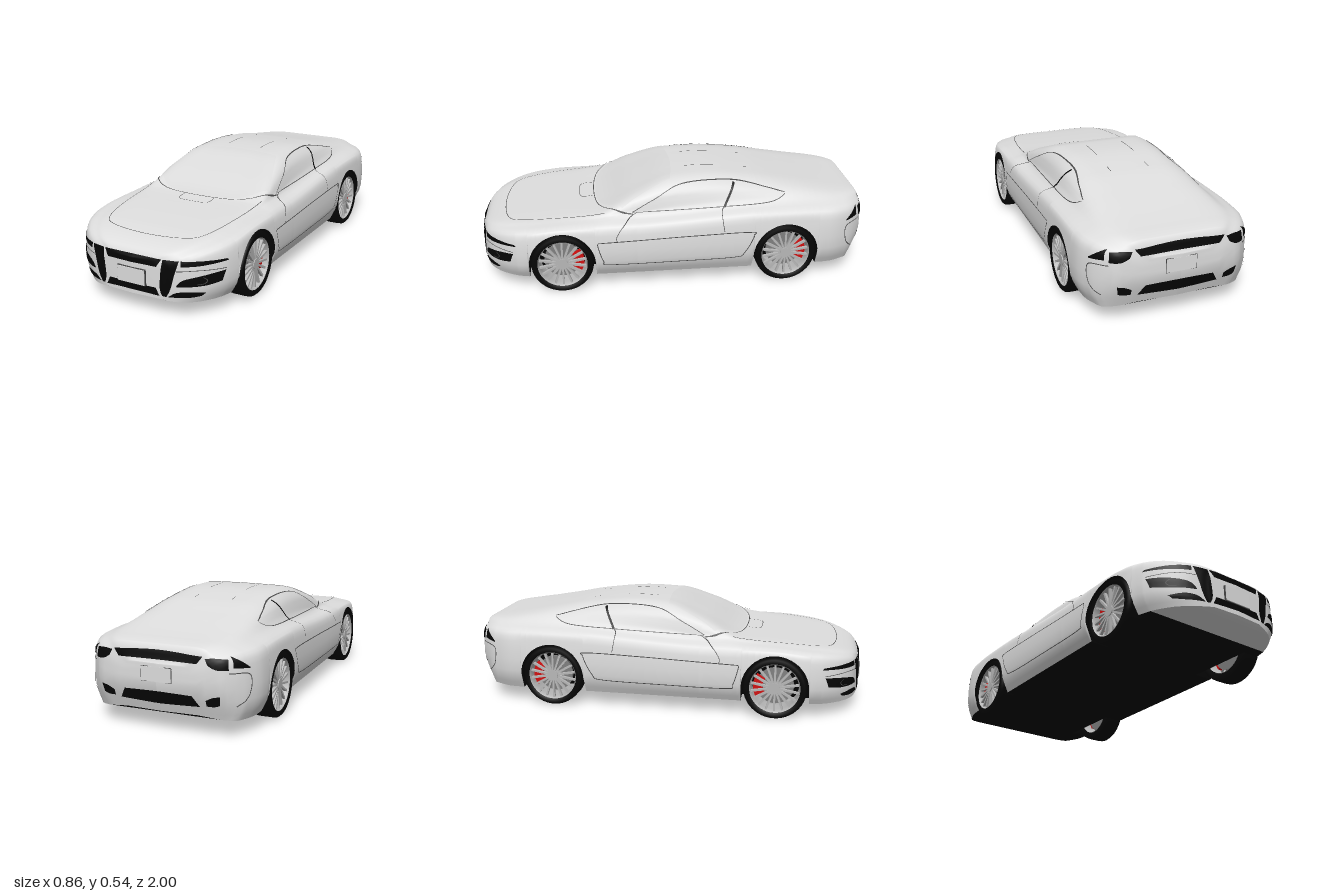
import * as THREE from 'three';

const mat = (name, color, side = THREE.DoubleSide) => {
  const m = new THREE.MeshStandardMaterial({ color, side });
  m.name = name;
  return m;
};
const paint = mat('silver paint', 0xdedede, THREE.FrontSide);
const glass = mat('glass', 0xdadada);
const black = mat('black', 0x050505);
const seam = mat('seam grey', 0x4a4a4a);
const alloy = mat('alloy', 0xb8b8b8);
const steel = mat('brake steel', 0x808080);
const red = mat('caliper red', 0xd01010);

// Stations: z, half width, sill, shoulder, top, roof half width
const ROWS = [
  [-0.992, 0.19, 0.098, 0.29, 0.325, 0.13], [-0.98, 0.27, 0.09, 0.335, 0.375, 0.17],
  [-0.965, 0.305, 0.085, 0.355, 0.404, 0.19], [-0.93, 0.345, 0.08, 0.365, 0.413, 0.2],
  [-0.88, 0.38, 0.077, 0.372, 0.42, 0.2], [-0.78, 0.414, 0.075, 0.378, 0.437, 0.2],
  [-0.6, 0.42, 0.075, 0.384, 0.473, 0.205], [-0.4, 0.42, 0.075, 0.382, 0.511, 0.215],
  [-0.15, 0.42, 0.075, 0.368, 0.534, 0.225], [0, 0.42, 0.075, 0.358, 0.528, 0.235],
  [0.2, 0.42, 0.075, 0.349, 0.462, 0.28], [0.4, 0.42, 0.075, 0.348, 0.378, 0.3],
  [0.58, 0.42, 0.075, 0.345, 0.363, 0.25], [0.7, 0.415, 0.075, 0.335, 0.352, 0.25],
  [0.8, 0.39, 0.073, 0.322, 0.341, 0.24], [0.9, 0.325, 0.073, 0.3, 0.322, 0.2],
  [0.95, 0.26, 0.075, 0.28, 0.303, 0.16], [0.975, 0.195, 0.08, 0.258, 0.283, 0.13],
  [0.985, 0.155, 0.086, 0.238, 0.266, 0.1],
];
const WHEELS = [0.58, -0.555], AXLE_Y = 0.157, ARCH = 0.166;

// Smooth monotone lookup in one column of the station table
function at(z, c) {
  let i = 0;
  while (i < ROWS.length - 2 && z > ROWS[i + 1][0]) i++;
  const d = k => (k < 0 || k > ROWS.length - 2) ? 0 : (ROWS[k + 1][c] - ROWS[k][c]) / (ROWS[k + 1][0] - ROWS[k][0]);
  const slope = k => (d(k - 1) * d(k) > 0 ? 2 * d(k - 1) * d(k) / (d(k - 1) + d(k)) : 0);
  const h = ROWS[i + 1][0] - ROWS[i][0], t = (z - ROWS[i][0]) / h, t2 = t * t, t3 = t2 * t;
  return (2 * t3 - 3 * t2 + 1) * ROWS[i][c] + (t3 - 2 * t2 + t) * h * slope(i)
    + (3 * t2 - 2 * t3) * ROWS[i + 1][c] + (t3 - t2) * h * slope(i + 1);
}

// Cross-section from the +x lower edge over the roof to the -x edge, trimmed by the wheel arches
function section(z) {
  const [W, B, S, T, R0] = [1, 2, 3, 4, 5].map(c => at(z, c));
  const bx = W * 0.805, R = Math.min(R0, bx * 0.92), K = S + Math.min(0.024, (T - S) * 0.55), G = T - K;
  const half = [[W * 0.915, B], [W, B + (S - B) * 0.27], [W, B + (S - B) * 0.78], [W * 0.96, S - 0.004], [bx, K],
    [bx * 0.58 + R * 0.42, K + G * 0.66], [R, K + G * 0.94], [R / 2, K + G * 0.99]];
  const all = [...half, [0, T], ...half.slice().reverse().map(([x, y]) => [-x, y])];
  const curve = new THREE.CatmullRomCurve3(all.map(([x, y]) => new THREE.Vector3(x, y, z)));
  let edge = B;
  for (const c of WHEELS) {
    const dz = Math.abs(z - c);
    if (dz <= ARCH + 1e-6) edge = AXLE_Y + Math.sqrt(Math.max(0, ARCH * ARCH - dz * dz));
  }
  const top = 3 / 16;
  let lo = 0, hi = top;
  for (let k = 0; k < 25 && edge > B; k++) {
    const m = (lo + hi) / 2;
    if (curve.getPoint(m).y < edge) lo = m; else hi = m;
  }
  const ts = [];
  for (let i = 0; i < 8; i++) ts.push(lo + (top - lo) * i / 8);
  for (let i = 0; i < 16; i++) ts.push(top + (0.5 - top) * i / 16);
  const params = [...ts, 0.5, ...ts.slice().reverse().map(t => 1 - t)];
  const rake = 0.5 * Math.max(0, -0.9 - z);
  return params.map(t => {
    const p = curve.getPoint(t);
    p.z += rake * Math.max(0, 1 - (p.y - 0.09) / 0.13);
    return p;
  });
}

// Surface through equal-length rows of points
function loft(rows) {
  const n = rows[0].length, idx = [];
  for (let j = 0; j < rows.length - 1; j++) for (let i = 0; i < n - 1; i++) {
    const a = j * n + i, c = a + n;
    idx.push(a, a + 1, c, a + 1, c + 1, c);
  }
  const g = new THREE.BufferGeometry();
  g.setAttribute('position', new THREE.Float32BufferAttribute(rows.flat().flatMap(p => [p.x, p.y, p.z]), 3));
  g.setIndex(idx);
  g.computeVertexNormals();
  return g;
}

function buildWheel(flip) {
  const wheel = new THREE.Group();
  const add = (name, geo, m) => {
    const o = new THREE.Mesh(geo, m);
    o.name = name;
    wheel.add(o);
  };
  const lathe = pts => new THREE.LatheGeometry(pts.map(p => new THREE.Vector2(...p)), 48).rotateZ(-Math.PI / 2);
  const disc = (r, h, x, n = 40) => new THREE.CylinderGeometry(r, r, h, n).rotateZ(-Math.PI / 2).translate(x, 0, 0);
  add('tyre', lathe([[0.122, -0.05], [0.146, -0.057], [0.155, -0.046], [0.157, -0.03], [0.157, 0.03], [0.155, 0.046], [0.146, 0.056], [0.126, 0.053], [0.122, 0.045]]), black);
  add('rim', lathe([[0.118, -0.05], [0.116, 0.02], [0.119, 0.044], [0.126, 0.052]]), alloy);
  add('brakeDisc', disc(0.092, 0.012, -0.005), steel);
  add('hub', disc(0.026, 0.03, 0.032, 24), alloy);
  const spokes = 18;
  for (let i = 0; i < spokes; i++)
    add('spoke', new THREE.BoxGeometry(0.014, 0.1, 0.01).translate(0.036, 0.07, 0).rotateX(i / spokes * Math.PI * 2), alloy);
  const s = new THREE.Shape();
  s.absarc(0, 0, 0.108, -0.6, 0.6, false);
  s.absarc(0, 0, 0.062, 0.6, -0.6, true);
  const caliper = new THREE.ExtrudeGeometry(s, { depth: 0.024, bevelEnabled: false, curveSegments: 10 }).rotateY(Math.PI / 2);
  add('brakeCaliper', flip ? caliper.rotateX(Math.PI) : caliper, red);
  return wheel;
}

export function createModel() {
  const car = new THREE.Group();
  car.name = 'coupe';
  const add = (name, geo, m) => {
    const o = new THREE.Mesh(geo, m);
    o.name = name;
    car.add(o);
    return o;
  };

  // Station positions, dense at both ends and around the arches
  const zs = ROWS.map(r => r[0]);
  for (let z = -0.96; z < 0.97; z += 0.03) zs.push(z);
  for (const e of [0.967, 0.98, -0.973, -0.986]) zs.push(e);
  for (const c of WHEELS) {
    for (let k = 0; k <= 20; k++) zs.push(c + ARCH * Math.cos(k * Math.PI / 20));
    zs.push(c + ARCH + 0.003, c - ARCH - 0.003);
  }
  zs.sort((a, b) => a - b);
  const stations = zs.filter((z, i) => !i || z - zs[i - 1] > 0.0004);

  // Painted shell, black floor with wheel wells, painted tray under the nose
  const shell = stations.map(section);
  const floor = shell.map((r, j) => {
    const e = r[0], x = Math.min(0.285, e.x * 0.95), B = Math.min(e.y, at(stations[j], 2));
    const side = [e, new THREE.Vector3(x, e.y, e.z), new THREE.Vector3(x, B, e.z)];
    return [...side, ...side.slice().reverse().map(p => new THREE.Vector3(-p.x, p.y, p.z))];
  });
  const fold = (row, dz) => row.map(p => new THREE.Vector3(0, p.y, p.z + dz));
  const close = rows => [fold(rows[0], -0.008), ...rows, fold(rows[rows.length - 1], 0.007)];
  const body = add('bodyShell', loft(close(shell)), paint);
  const closedFloor = close(floor), split = closedFloor.findIndex(r => r[0].z > 0.8);
  add('underbody', loft(closedFloor.slice(0, split + 1)), black);
  add('noseTray', loft(closedFloor.slice(split).reverse()), paint);

  // Project a 2D point onto the shell: front/rear use (x,y), left/right (z,y), top (x,z)
  const ray = new THREE.Raycaster();
  function project(view, u, v, lift) {
    const [o, d] = {
      front: [[u, v, 3], [0, 0, -1]], rear: [[u, v, -3], [0, 0, 1]], left: [[3, v, u], [-1, 0, 0]],
      right: [[-3, v, u], [1, 0, 0]], top: [[u, 3, v], [0, -1, 0]],
    }[view];
    ray.set(new THREE.Vector3(...o), new THREE.Vector3(...d));
    const hit = ray.intersectObject(body)[0];
    return hit ? hit.point.clone().addScaledVector(hit.face.normal, lift) : null;
  }
  const spline = pts => new THREE.SplineCurve(pts.map(p => new THREE.Vector2(...p)));
  function conform(name, m, view, f, n, k, lift) {
    const rows = [];
    for (let i = 0; i <= n; i++) {
      const row = [];
      for (let j = 0; j <= k; j++) {
        const p = f(i / n, j / k);
        row.push(project(view, p.x, p.y, lift));
      }
      if (row.every(p => p)) rows.push(row);
    }
    if (rows.length > 1) add(name, loft(rows), m);
  }
  // Thin skin between two edge curves, and thin line along a path
  function patch(name, m, view, a, b, n = 18, k = 5) {
    const A = spline(a), B = spline(b);
    conform(name, m, view, (s, t) => A.getPoint(s).lerp(B.getPoint(s), t), n, k, 0.003);
  }
  function line(name, m, view, pts, w = 0.004, n = 40) {
    const c = spline(pts);
    conform(name, m, view, (s, t) => {
      const d = c.getTangent(s), p = c.getPoint(s), o = (t - 0.5) * w;
      return p.set(p.x - d.y * o, p.y + d.x * o);
    }, n, 1, 0.0038);
  }
  const mir = (pts, s) => pts.map(([x, y]) => [x * s, y]);

  // Glass, bonnet and roof lines
  patch('windscreen', glass, 'top', [[-0.23, 0.02], [0, 0], [0.23, 0.02]], [[-0.32, 0.27], [-0.2, 0.375], [0, 0.4], [0.2, 0.375], [0.32, 0.27]], 28, 14);
  line('windscreenSeam', seam, 'top', [[-0.335, 0.22], [-0.31, 0.32], [-0.2, 0.39], [0, 0.41], [0.2, 0.39], [0.31, 0.32], [0.335, 0.22]]);
  line('bonnetSeam', seam, 'top', [[-0.32, 0.36], [-0.305, 0.6], [-0.27, 0.78], [-0.2, 0.85], [0, 0.875], [0.2, 0.85], [0.27, 0.78], [0.305, 0.6], [0.32, 0.36]], 0.003);
  line('cowlSeam', seam, 'top', [[-0.085, 0.41], [-0.08, 0.475], [0, 0.485], [0.08, 0.475], [0.085, 0.41]], 0.003, 24);
  for (const x of [-0.1, 0.1]) {
    line('roofSeam', seam, 'top', [[x, -0.22], [x, -0.06]], 0.003, 8);
    line('roofSeam', seam, 'top', [[x, -0.41], [x, -0.36]], 0.003, 4);
  }

  for (const side of ['left', 'right']) {
    const low = [[0.22, 0.386], [0, 0.391], [-0.25, 0.4], [-0.48, 0.412], [-0.56, 0.44]];
    const high = [[0.22, 0.389], [0.1, 0.45], [-0.04, 0.505], [-0.3, 0.506], [-0.56, 0.447]];
    patch('sideWindow', glass, side, low, high, 26, 8);
    line('windowSeam', seam, side, low, 0.003);
    line('windowSeam', seam, side, high, 0.003);
    line('doorPillar', black, side, [[-0.245, 0.399], [-0.3, 0.5]], 0.011, 14);
    line('doorRearSeam', seam, side, [[-0.245, 0.399], [-0.225, 0.375], [-0.235, 0.3]], 0.003, 14);
    line('doorFrontSeam', seam, side, [[0.2, 0.386], [0.27, 0.345], [0.305, 0.3], [0.305, 0.275]], 0.003, 18);
    line('sidePanelSeam', seam, side, [[0.4, 0.27], [0.2, 0.276], [-0.1, 0.287], [-0.37, 0.292], [-0.385, 0.27], [-0.34, 0.18],
      [-0.29, 0.153], [0, 0.147], [0.34, 0.147], [0.375, 0.17], [0.4, 0.25], [0.4, 0.27]], 0.004, 90);
    patch('tailLampSide', black, side, [[-0.868, 0.318], [-0.93, 0.37]], [[-0.868, 0.313], [-0.935, 0.322]], 8, 4);
    line('rearVentSeam', seam, side, [[-0.95, 0.3], [-0.87, 0.285], [-0.875, 0.2], [-0.92, 0.15]], 0.004, 24);
  }

  // Nose openings
  patch('upperGrille', black, 'front', [[-0.152, 0.272], [0.152, 0.272]], [[-0.13, 0.237], [0.13, 0.237]], 24);
  patch('lowerGrille', black, 'front', [[-0.125, 0.138], [0.125, 0.138]], [[-0.143, 0.102], [0, 0.106], [0.143, 0.102]], 24);
  for (const s of [1, -1]) {
    const f = (name, a, b) => patch(name, black, 'front', mir(a, s), mir(b, s), 18, 6);
    f('bumperPillar', [[0.231, 0.271], [0.21, 0.2], [0.194, 0.14], [0.174, 0.1]], [[0.158, 0.271], [0.15, 0.2], [0.146, 0.14], [0.156, 0.103]]);
    f('headlamp', [[0.238, 0.272], [0.31, 0.271], [0.385, 0.266]], [[0.238, 0.247], [0.31, 0.25], [0.39, 0.257]]);
    f('sideIntake', [[0.22, 0.158], [0.25, 0.187], [0.33, 0.207], [0.385, 0.216]], [[0.222, 0.153], [0.26, 0.154], [0.33, 0.158], [0.375, 0.168]]);
    f('lowerIntake', [[0.19, 0.108], [0.22, 0.125], [0.27, 0.131], [0.325, 0.122]], [[0.182, 0.101], [0.22, 0.101], [0.27, 0.102], [0.31, 0.108]]);
    line('fogLampRing', seam, 'front', mir([[0.3, 0.165], [0.325, 0.168], [0.333, 0.184], [0.32, 0.198]], s), 0.003, 12);
    line('bumperSeam', seam, 'front', mir([[0.22, 0.225], [0.3, 0.23], [0.385, 0.225]], s), 0.003, 16);

    // Tail details, one side
    const r = (name, a, b) => patch(name, black, 'rear', mir(a, s), mir(b, s), 14, 5);
    r('tailLamp', [[0.225, 0.362], [0.27, 0.364], [0.318, 0.358]], [[0.24, 0.335], [0.275, 0.318], [0.322, 0.314]]);
    r('rearVent', [[0.225, 0.178], [0.26, 0.195], [0.29, 0.2]], [[0.225, 0.15], [0.26, 0.15], [0.285, 0.158]]);
  }
  patch('tailPanel', black, 'rear', [[-0.215, 0.37], [0, 0.381], [0.215, 0.37]], [[-0.19, 0.338], [0, 0.34], [0.19, 0.338]], 24);
  patch('rearLowerGrille', black, 'rear', [[-0.165, 0.195], [0, 0.2], [0.165, 0.195]], [[-0.195, 0.145], [0, 0.14], [0.195, 0.145]], 24);

  // Blank number plates
  add('frontPlateFrame', new THREE.BoxGeometry(0.15, 0.077, 0.012).translate(0, 0.174, 0.991), seam);
  add('frontPlate', new THREE.BoxGeometry(0.145, 0.072, 0.012).translate(0, 0.174, 0.994), paint);
  add('rearPlateFrame', new THREE.BoxGeometry(0.15, 0.07, 0.01).translate(0, 0.275, -0.993), seam);
  add('rearPlate', new THREE.BoxGeometry(0.145, 0.065, 0.01).translate(0, 0.275, -0.995), paint);

  // Wheels
  for (const z of WHEELS) for (const s of [1, -1]) {
    const w = buildWheel(s < 0);
    w.name = (z > 0 ? 'front' : 'rear') + (s > 0 ? 'Left' : 'Right') + 'Wheel';
    w.position.set(s * 0.363, AXLE_Y, z);
    if (s < 0) w.rotation.y = Math.PI;
    car.add(w);
  }
  return car;
}
